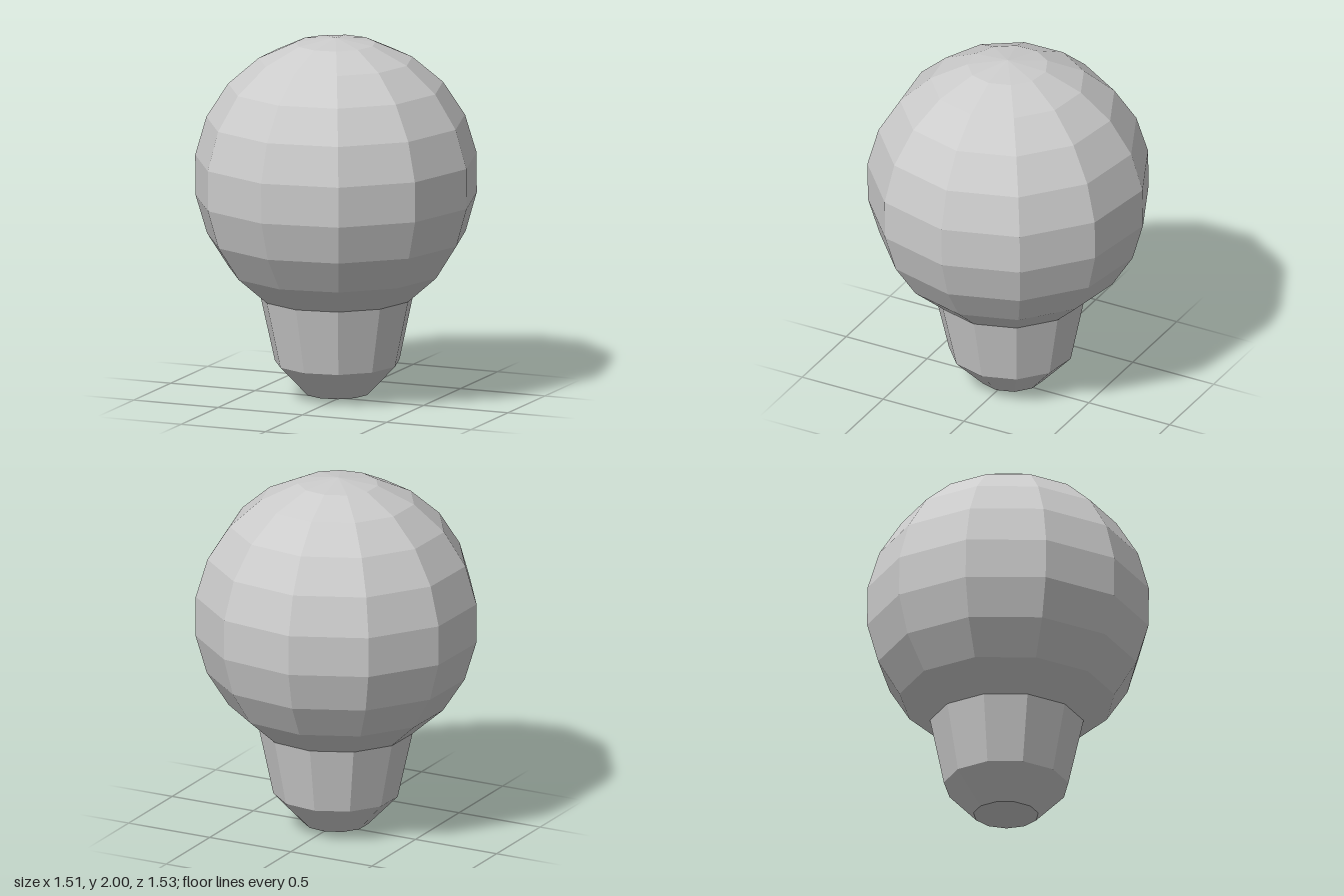
import * as THREE from 'three';

const SIDES = 11;
const R = 0.78;
const CENTRE_Y = 1.22;

// Faceted solid of revolution from [radius, height] points, bottom to top
function turned(name, points) {
  const profile = points.map(([r, y]) => new THREE.Vector2(r, y));
  const geometry = new THREE.LatheGeometry(profile, SIDES, Math.PI / 2);
  const material = new THREE.MeshStandardMaterial({ color: 0xcccccc, flatShading: true });
  const mesh = new THREE.Mesh(geometry, material);
  mesh.name = name;
  return mesh;
}

export function createModel() {
  const model = new THREE.Group();
  model.name = 'lightBulb';

  // Globe: sphere rings from the neck joint up to the pole
  const globe = [];
  for (let i = 9; i >= 0; i--) {
    const a = (i * Math.PI) / SIDES;
    globe.push([i ? R * Math.sin(a) : 0, R * Math.cos(a)]);
  }
  model.add(turned('globe', globe));

  // Tapered base with a bevelled, slightly pointed tip
  model.add(turned('base', [
    [0, -CENTRE_Y],
    [0.178, 0.027 - CENTRE_Y],
    [0.342, 0.197 - CENTRE_Y],
    globe[0],
  ]));

  // The bulb leans very slightly forward
  model.position.set(-0.018, CENTRE_Y, 0);
  model.rotation.x = 0.0135;
  const root = new THREE.Group();
  root.name = 'bulbModel';
  root.add(model);
  return root;
}
